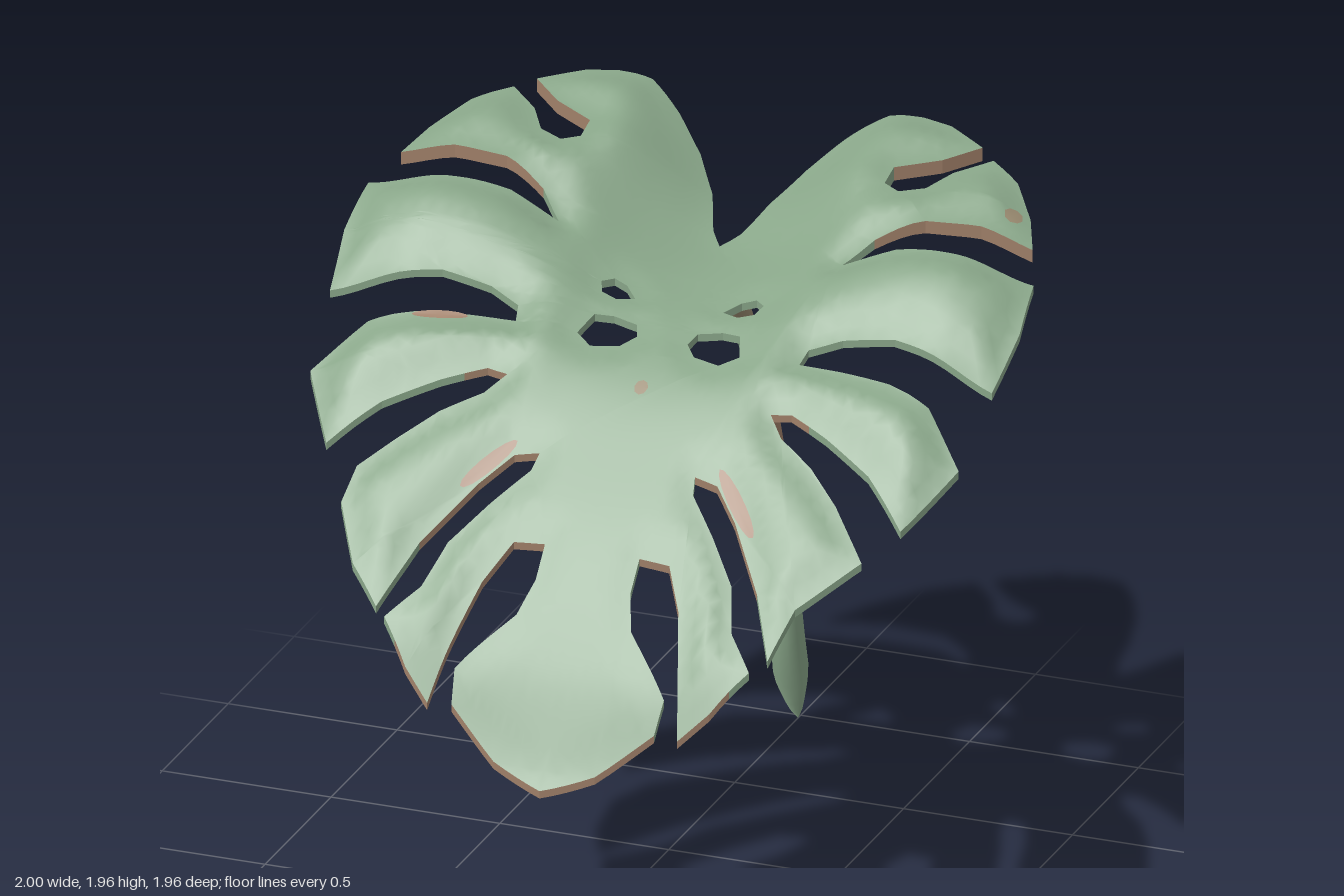
import * as THREE from 'three';

const leafGreen = new THREE.MeshStandardMaterial({ color: 0x88a588, name: 'leafGreen' });
const driedBrown = new THREE.MeshStandardMaterial({ color: 0xa08069, name: 'driedBrown' });
const fadedBrown = new THREE.MeshStandardMaterial({ color: 0x998a70, name: 'fadedBrown' });
const { smoothstep, clamp, lerp } = THREE.MathUtils;

// Leaf outline from the stem notch round to the front tip, as [x, z]
const wings = [[0.04, -0.44], [0.085, -0.55], [0.155, -0.64], [0.245, -0.71], [0.35, -0.775],
  [0.45, -0.78], [0.54, -0.76], [0.66, -0.69], [0.57, -0.615], [0.45, -0.555], [0.45, -0.485],
  [0.5, -0.46], [0.57, -0.49], [0.62, -0.57], [0.71, -0.645], [0.81, -0.575], [0.89, -0.465],
  [0.935, -0.365], [0.78, -0.375], [0.62, -0.36], [0.49, -0.305], [0.42, -0.24]];
const sideLobes = [[0.57, -0.265], [0.78, -0.255], [0.985, -0.245], [1, -0.1], [0.98, 0.06],
  [0.83, 0.03], [0.67, 0], [0.52, 0.01], [0.43, 0.04], [0.42, 0.085], [0.55, 0.1], [0.7, 0.12],
  [0.83, 0.155], [0.96, 0.26], [0.85, 0.42], [0.72, 0.33], [0.57, 0.265], [0.45, 0.22],
  [0.39, 0.225], [0.44, 0.275], [0.55, 0.33], [0.65, 0.4]];
const lobeEndLeft = [[0.77, 0.51], [0.62, 0.63], [0.585, 0.75]];
const lobeEndRight = [[0.74, 0.47], [0.755, 0.55], [0.67, 0.68], [0.57, 0.76]];
const frontLobes = [[0.5, 0.61], [0.38, 0.47], [0.3, 0.4], [0.23, 0.39], [0.24, 0.43], [0.33, 0.51],
  [0.42, 0.6], [0.46, 0.7], [0.54, 0.775], [0.45, 0.845], [0.37, 0.885], [0.335, 0.79],
  [0.29, 0.67], [0.23, 0.585], [0.14, 0.58], [0.14, 0.65], [0.17, 0.72], [0.26, 0.79],
  [0.31, 0.83], [0.3, 0.88], [0.15, 0.945]];
const toPoints = (list) => list.map(([x, z]) => new THREE.Vector2(x, z));
const mirror = (list) => list.map(([x, z]) => [-x, z]);

const outline = toPoints([[0, -0.385], ...wings, ...sideLobes, ...lobeEndLeft, ...frontLobes, [0, 0.98],
  ...mirror([...wings, ...sideLobes, ...lobeEndRight, ...frontLobes]).reverse()]);

// Two pairs of holes beside the midrib
const smallHole = [[0.13, -0.08], [0.17, -0.12], [0.21, -0.13], [0.24, -0.105], [0.225, -0.07], [0.18, -0.06]];
const largeHole = [[0.075, 0.05], [0.09, 0.01], [0.16, 0], [0.215, 0.01], [0.24, 0.08], [0.19, 0.11], [0.11, 0.09]];
const holes = [smallHole, largeHole].flatMap((h) => [toPoints(h), toPoints(mirror(h))]);

// Smooth curve through heights spaced 0.2 apart from z = -0.8
const midribHeights = [1.79, 1.71, 1.64, 1.605, 1.555, 1.455, 1.29, 1.095, 0.845, 0.54];
const flankHeights = [1.95, 1.9, 1.845, 1.78, 1.64, 1.495, 1.295, 1.1, 0.91, 0.6];
function along(values, z) {
  const f = clamp((z + 0.8) / 0.2, 0, values.length - 1.001);
  const i = Math.floor(f), t = f - i;
  const p = (k) => values[clamp(k, 0, values.length - 1)];
  const m0 = (p(i + 1) - p(i - 1)) / 2, m1 = (p(i + 2) - p(i)) / 2;
  return p(i) * (1 + 2 * t) * (1 - t) ** 2 + m0 * t * (1 - t) ** 2
    + p(i + 1) * t * t * (3 - 2 * t) + m1 * t * t * (t - 1);
}

// Distance from the nearest cut edge
function edgeDistance(x, z) {
  let best = 1;
  for (const loop of [outline, ...holes]) {
    loop.forEach((a, i) => {
      const b = loop[(i + 1) % loop.length];
      const dx = b.x - a.x, dz = b.y - a.y;
      const t = clamp(((x - a.x) * dx + (z - a.y) * dz) / (dx * dx + dz * dz), 0, 1);
      best = Math.min(best, Math.hypot(x - a.x - t * dx, z - a.y - t * dz));
    });
  }
  return best;
}

// Height of the leaf: arched lengthwise, flanks raised, lobes softly rolled, wings thicker
function surface(x, z, side) {
  const ax = Math.abs(x), d = edgeDistance(x, z);
  const reach = 0.42 + 0.33 * smoothstep(z, -0.55, -0.2);
  const t = smoothstep(ax, 0, reach);
  const base = lerp(along(midribHeights, z), along(flankHeights, z), t);
  const roll = lerp(0.012, 0.025 * smoothstep(d, 0, 0.12), smoothstep(ax, 0.2, 0.45));
  const rim = 0.011 + 0.009 * (1 - smoothstep(z, -0.4, -0.25));
  const half = lerp(rim, 0.02, smoothstep(d, 0, 0.08));
  return base - 0.05 * smoothstep(ax, 0.75, 1) + roll - 0.01 + side * half;
}

function makeGeometry(positions, index) {
  const g = new THREE.BufferGeometry();
  g.setAttribute('position', new THREE.Float32BufferAttribute(positions, 3));
  g.setIndex(index);
  g.computeVertexNormals();
  return g;
}

function addMesh(group, name, geometry, material) {
  const mesh = new THREE.Mesh(geometry, material);
  mesh.name = name;
  group.add(mesh);
}

// Brown rims: wing edges, backs of the side lobes and the inner ends of the front slits
function isBrownRim(p, q) {
  const mx = (p.x + q.x) / 2, mz = (p.y + q.y) / 2, length = p.distanceTo(q);
  const nx = (p.y - q.y) / length * Math.sign(mx), nz = (q.x - p.x) / length;
  if (Math.hypot(mx, mz) < 0.3) return false;
  if (mz < -0.3) return nx < 0.7;
  return nx < 0.8 && (nz < 0.2 || (mz > 0.2 && Math.abs(mx) < 0.5));
}

function createLeaf() {
  const group = new THREE.Group();
  group.name = 'leaf';
  const points = [], ids = new Map(), tris = [];
  const idOf = (p) => {
    const key = `${p.x.toFixed(5)},${p.y.toFixed(5)}`;
    if (!ids.has(key)) { ids.set(key, points.length); points.push(p); }
    return ids.get(key);
  };
  // Halve the longest edge until all are short enough to bend
  const split = (a, b, c) => {
    const ab = a.distanceTo(b);
    const longest = Math.max(ab, b.distanceTo(c), c.distanceTo(a));
    if (longest < 0.045) {
      tris.push([idOf(a), idOf(b), idOf(c)]);
    } else if (ab < longest) {
      split(b, c, a);
    } else {
      const m = a.clone().add(b).multiplyScalar(0.5);
      split(a, m, c);
      split(m, b, c);
    }
  };
  const all = [...outline, ...holes.flat()];
  for (const [i, j, k] of THREE.ShapeUtils.triangulateShape(outline, holes)) {
    const a = all[i], b = all[j], c = all[k];
    const up = (b.y - a.y) * (c.x - a.x) - (b.x - a.x) * (c.y - a.y) > 0;
    if (up) split(a, b, c); else split(a, c, b);
  }
  const top = points.map((p) => [p.x, surface(p.x, p.y, 1), p.y]);
  const bottom = points.map((p) => [p.x, surface(p.x, p.y, -1), p.y]);
  addMesh(group, 'leafUpperFace', makeGeometry(top.flat(), tris.flat()), leafGreen);
  addMesh(group, 'leafUnderside', makeGeometry(bottom.flat(), tris.flatMap(([a, b, c]) => [a, c, b])), leafGreen);

  // Walls joining both faces
  const edges = new Set(tris.flatMap(([a, b, c]) => [`${a},${b}`, `${b},${c}`, `${c},${a}`]));
  const rims = { brownRim: [], greenRim: [] };
  for (const edge of edges) {
    const [a, b] = edge.split(',').map(Number);
    if (edges.has(`${b},${a}`)) continue;
    const list = isBrownRim(points[a], points[b]) ? rims.brownRim : rims.greenRim;
    list.push(...top[a], ...bottom[a], ...bottom[b], ...top[b]);
  }
  for (const [name, list] of Object.entries(rims)) {
    const index = [];
    for (let i = 0; i < list.length / 3; i += 4) index.push(i, i + 1, i + 2, i, i + 2, i + 3);
    addMesh(group, name, makeGeometry(list, index), name === 'brownRim' ? driedBrown : leafGreen);
  }

  // Dried spots and slit patches lying on the upper face
  const drape = (name, geometry, material) => {
    const pos = geometry.attributes.position;
    for (let i = 0; i < pos.count; i++) pos.setY(i, surface(pos.getX(i), pos.getZ(i), 1) + 0.005);
    geometry.computeVertexNormals();
    addMesh(group, name, geometry, material);
  };
  for (const [x, z, r] of [[0, 0.21, 0.02], [0.85, -0.44, 0.026]]) {
    drape('driedSpot', new THREE.CircleGeometry(r, 8).rotateX(-Math.PI / 2).translate(x, 0, z), fadedBrown);
  }
  // Each patch: centre x, centre z, length, width, turn
  for (const [x, z, length, width, turn] of [[0.37, 0.435, 0.2, 0.035, -0.72],
    [-0.365, 0.43, 0.17, 0.035, 0.72], [-0.63, 0.122, 0.16, 0.025, 0.15]]) {
    const g = new THREE.CircleGeometry(0.5, 14).rotateX(-Math.PI / 2).scale(length, 1, width);
    drape('driedPatch', g.rotateY(turn).translate(x, 0, z), driedBrown);
  }
  return group;
}

// Bent stem with a rounded top, a swollen pointed foot and two brown bands
function createStem() {
  const path = new THREE.CatmullRomCurve3([[1.63, -0.375], [1.39, -0.545], [1.18, -0.67], [0.9, -0.785],
    [0.63, -0.865], [0.24, -0.91], [0.1, -0.945], [0, -0.98]].map(([y, z]) => new THREE.Vector3(0, y, z)));
  const rows = 48, sides = 10;
  const g = new THREE.TubeGeometry(path, rows, 1, sides);
  const pos = g.attributes.position, v = new THREE.Vector3();
  for (let i = 0; i < pos.count; i++) {
    const centre = path.getPointAt(Math.floor(i / (sides + 1)) / rows), y = centre.y;
    const ends = clamp(y / 0.16, 0, 1) ** 0.7 * Math.sqrt(clamp((1.63 - y) / 0.03, 0, 1));
    const radius = (0.033 + 0.018 * (1 - smoothstep(y, 0.15, 0.6))) * ends;
    v.fromBufferAttribute(pos, i).sub(centre).multiplyScalar(radius).add(centre);
    pos.setXYZ(i, v.x, v.y, v.z);
  }
  for (let r = 0; r < rows; r++) {
    const y = path.getPointAt((r + 0.5) / rows).y;
    const upperBand = y > 1.3 && y < 1.48, lowerBand = y > 0.8 && y < 1.03;
    g.addGroup(r * sides * 6, sides * 6, upperBand ? 2 : lowerBand ? 1 : 0);
  }
  const stem = new THREE.Mesh(g, [leafGreen, driedBrown, fadedBrown]);
  stem.name = 'stem';
  return stem;
}

export function createModel() {
  const model = new THREE.Group();
  model.name = 'splitLeafPlant';
  model.add(createLeaf(), createStem());
  return model;
}
